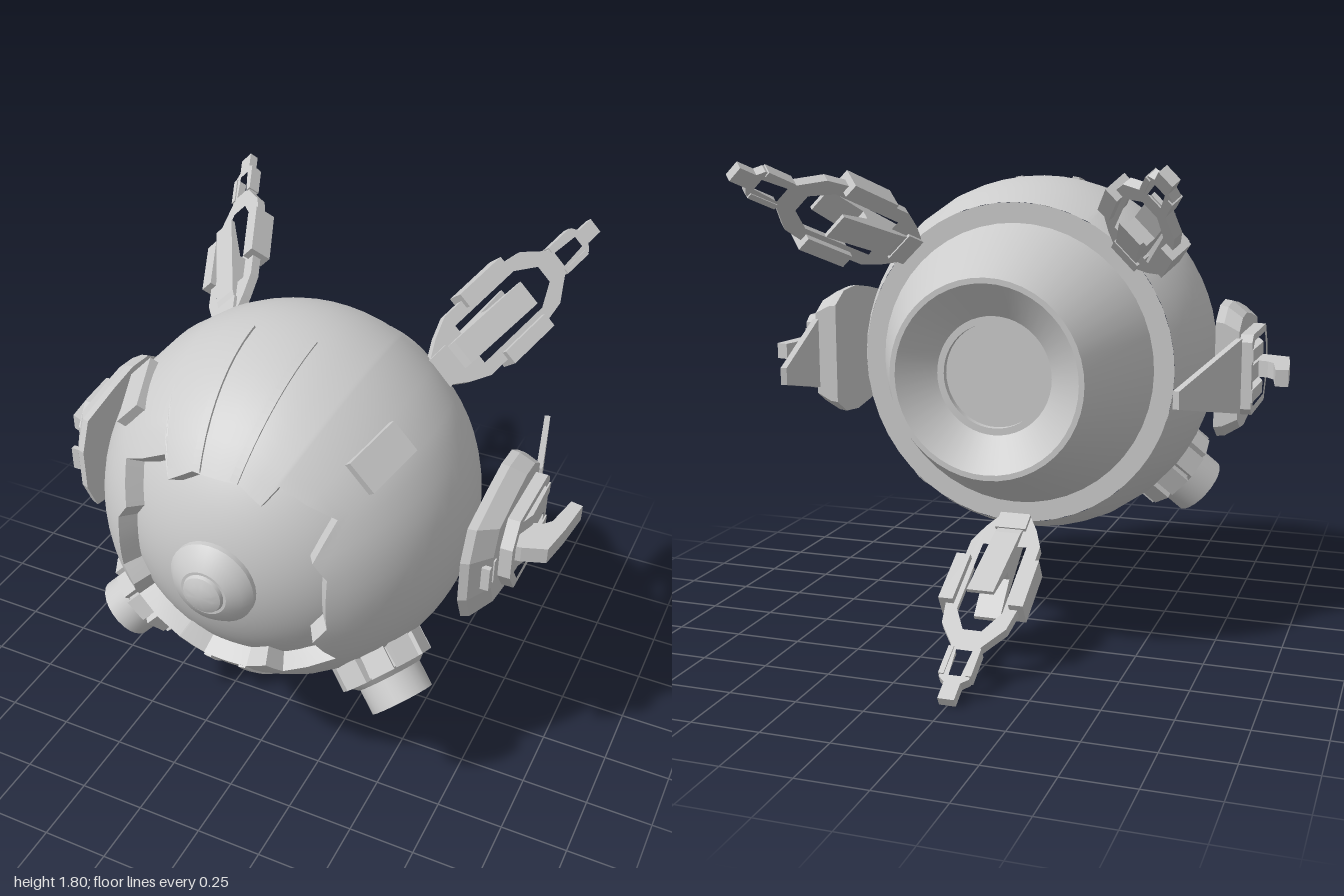
import * as THREE from 'three';
import { toCreasedNormals } from 'three/addons/utils/BufferGeometryUtils.js';
import { ConvexGeometry } from 'three/addons/geometries/ConvexGeometry.js';

const mat = new THREE.MeshStandardMaterial({ color: 0xcccccc });
const CY = 1.03, CZ = 0.19, R = 0.685; // centre height, centre depth, shell radius
const v2 = (p) => new THREE.Vector2(p[0], p[1]);

function add(parent, name, geo) {
  const m = new THREE.Mesh(geo, mat);
  m.name = name;
  parent.add(m);
  return m;
}

function box(w, h, d, x = 0, y = 0, z = 0) {
  return new THREE.BoxGeometry(w, h, d).translate(x, y, z);
}

// Extruded polygon, centred on its thickness, with optional holes
function plate(points, depth, holes = []) {
  const shape = new THREE.Shape(points.map(v2));
  shape.holes = holes.map((h) => new THREE.Path(h.map(v2)));
  return new THREE.ExtrudeGeometry(shape, { depth, bevelEnabled: false }).translate(0, 0, -depth / 2);
}

function lathe(profile, segments, crease = 0.5) {
  return toCreasedNormals(new THREE.LatheGeometry(profile.map(v2), segments), crease);
}

// Half outline [x, y] mirrored across x = 0
const mirrorX = (half) => [...half, ...half.map(([x, y]) => [-x, y]).reverse()];

// Turn an object so its y axis points along dir and its z axis leans to the front
function aim(obj, dir) {
  const y = dir.clone().normalize();
  const x = new THREE.Vector3().crossVectors(y, new THREE.Vector3(0, 0, 1)).normalize();
  const z = new THREE.Vector3().crossVectors(x, y);
  obj.quaternion.setFromRotationMatrix(new THREE.Matrix4().makeBasis(x, y, z));
  obj.position.set(0, 0, CZ);
}

// Spherical shell from a jagged front opening to a round back edge
function shellGeometry() {
  const q = [[0, 0.395], [0.085, 0.395], [0.17, 0.345], [0.21, 0.4], [0.395, 0.3], [0.35, 0.17], [0.395, 0.105], [0.395, 0]];
  const half = [...q, ...q.slice(0, -1).reverse().map(([x, y]) => [x, -y])];
  const ring = [...half, ...half.slice(1, -1).reverse().map(([x, y]) => [-x, y])];
  const rim = [];
  ring.forEach((p, i) => {
    const n = ring[(i + 1) % ring.length];
    rim.push(p, [(p[0] + n[0]) / 2, (p[1] + n[1]) / 2]);
  });
  const rows = 16, back = Math.acos(-0.33 / R), pos = [], idx = [];
  rim.forEach(([x, y]) => {
    const a = Math.atan2(x, y), front = Math.asin(Math.hypot(x, y) / R);
    for (let j = -1; j <= rows; j++) {
      const r = j < 0 ? 0.6 : R;
      const f = front + (back - front) * Math.max(j, 0) / rows;
      pos.push(r * Math.sin(f) * Math.sin(a), r * Math.sin(f) * Math.cos(a), CZ + r * Math.cos(f));
    }
  });
  const w = rows + 2;
  for (let i = 0; i < rim.length; i++) {
    const k = (i + 1) % rim.length;
    for (let j = 0; j < w - 1; j++) {
      const a = i * w + j, b = k * w + j;
      idx.push(a, b, a + 1, b, b + 1, a + 1);
    }
  }
  const g = new THREE.BufferGeometry();
  g.setAttribute('position', new THREE.Float32BufferAttribute(pos, 3));
  g.setIndex(idx);
  g.computeVertexNormals();
  return toCreasedNormals(g, 0.6);
}

// Raised strip that follows a meridian of the shell
function stripGeometry(angle) {
  const s = new THREE.Shape();
  s.absarc(0, 0, R + 0.007, 0.63, 1.47, false);
  s.absarc(0, 0, R - 0.03, 1.47, 0.63, true);
  return new THREE.ExtrudeGeometry(s, { depth: 0.028, bevelEnabled: false, curveSegments: 12 })
    .translate(0, 0, -0.014).rotateY(-Math.PI / 2).rotateZ(angle).translate(0, 0, CZ);
}

function makeThruster() {
  const g = new THREE.Group();
  g.name = 'thruster';
  add(g, 'thrusterNozzle', lathe([[0.14, 0.58], [0.155, 0.745], [0.125, 0.77], [0.12, 0.77], [0.12, 0.868],
    [0.105, 0.868], [0.1, 0.78], [0, 0.78]], 24));
  for (let i = 0; i < 10; i++) {
    add(g, 'collarPanel', box(0.088, 0.15, 0.035, 0, 0.675, 0.155).rotateY((i * Math.PI) / 5));
  }
  return g;
}

// Side pod on +x, symmetric in y so a half turn about z gives the other side
function makePod() {
  const g = new THREE.Group();
  g.name = 'sidePod';
  // outline as [-z, y]
  const upper = [[-0.44, 0.08], [-0.39, 0.19], [-0.2, 0.23], [-0.07, 0.25], [0.04, 0.24], [0.12, 0.19]];
  const outline = [...upper, ...upper.map(([a, b]) => [a, -b]).reverse()];
  const layer = (x, s) => outline.map(([a, b]) => new THREE.Vector3(x, b * s, -(0.12 + (a - 0.12) * s)));
  add(g, 'podBase', new ConvexGeometry([...layer(0.74, 1), ...layer(0.77, 0.98), ...layer(0.825, 0.83)]));

  const frame = (k) => {
    const f = [[-0.28, 0.06], [-0.22, 0.145], [0.08, 0.145], [0.11, 0.12]];
    return [...f, ...f.map(([a, b]) => [a, -b]).reverse()].map(([a, b]) => [-0.085 + (a + 0.085) * k, b * k]);
  };
  add(g, 'podFrame', plate(frame(1), 0.06, [frame(0.82)]).rotateY(Math.PI / 2).translate(0.84, 0, 0));
  for (const z of [0.38, 0.33]) add(g, 'podVent', box(0.03, 0.09, 0.02, 0.815, 0, z));

  // Hooked blade between two low ribs
  const blade = [[0.8, 0.22], [0.88, 0.21], [0.965, 0.18], [0.985, 0.05], [1, -0.11], [0.955, -0.12], [0.93, 0.02], [0.905, 0.05],
    [0.87, 0.06], [0.865, -0.1], [0.8, -0.1]];
  add(g, 'podBlade', plate(blade, 0.06).rotateX(Math.PI / 2));
  const rib = [[0.8, 0.2], [0.85, 0.19], [0.88, 0.1], [0.875, -0.11], [0.8, -0.11]];
  for (const y of [-0.073, 0.073]) add(g, 'podRib', plate(rib, 0.045).rotateX(Math.PI / 2).translate(0, y, 0));

  // Tapered spike sweeping back and inward
  add(g, 'podSpike', plate([[0, -0.135], [0.514, -0.03], [0.514, 0.03], [0, 0.135]], 0.022)
    .rotateY(Math.PI / 2 + 0.236).translate(0.825, 0, -0.12));
  return g;
}

// Tail fin below the axis; y runs along its length
function makeFin() {
  const g = new THREE.Group();
  g.name = 'tailFin';
  const outline = mirrorX([[0.03, 0.88], [0.03, 0.81], [0.055, 0.79], [0.055, 0.65], [0.12, 0.56], [0.135, 0.47],
    [0.135, 0.16], [0.1, 0.08], [0.05, 0]]);
  const slot = mirrorX([[0.022, 0.78], [0.03, 0.67]]);
  const window = mirrorX([[0.035, 0.58], [0.085, 0.49], [0.085, 0.17]]);
  add(g, 'finFrame', plate(outline, 0.035, [slot, window]));
  for (const s of [-1, 1]) {
    add(g, 'finArm', box(0.055, 0.22, 0.085, s * 0.132, 0.36, 0));
    add(g, 'finTipRail', box(0.02, 0.12, 0.045, s * 0.05, 0.72, 0));
  }
  // Forked core, drawn as [length, thickness]
  const core = [[0.02, 0], [0.12, 0.035], [0.3, 0.06], [0.45, 0.08], [0.45, 0.065], [0.3, 0.02],
    [0.3, -0.02], [0.45, -0.065], [0.45, -0.08], [0.3, -0.06], [0.12, -0.035]];
  add(g, 'finCore', plate(core, 0.1).applyMatrix4(new THREE.Matrix4().makeBasis(
    new THREE.Vector3(0, 1, 0), new THREE.Vector3(0, 0, 1), new THREE.Vector3(1, 0, 0))));
  add(g, 'finMount', box(0.12, 0.1, 0.06, 0, 0.04, 0));
  g.position.set(0, -0.59, -0.115);
  g.rotation.x = -2.088;
  return g;
}

export function createModel() {
  const model = new THREE.Group();
  model.name = 'sphericalProbe';
  const body = new THREE.Group();
  body.name = 'body';
  body.position.y = CY;
  model.add(body);

  // Core, shell and back cone with a dished exhaust
  add(body, 'faceDome', new THREE.SphereGeometry(0.615, 48, 20, 0, Math.PI * 2, 0, Math.PI / 2)
    .rotateX(Math.PI / 2).translate(0, 0, CZ));
  add(body, 'outerShell', shellGeometry());
  add(body, 'backCone', lathe([[0, -0.36], [0.19, -0.36], [0.19, -0.385], [0.215, -0.385], [0.34, -0.48], [0.36, -0.48],
    [0.525, -0.14], [0.6, -0.14]], 48).rotateX(Math.PI / 2));
  add(body, 'eye', lathe([[0.158, 0.76], [0.158, 0.803], [0.13, 0.835], [0.085, 0.86], [0.075, 0.86], [0.07, 0.872],
    [0.045, 0.883], [0, 0.888]], 32).rotateX(Math.PI / 2));
  for (const a of [-0.17, 0.17, Math.PI - 0.17, Math.PI + 0.17]) add(body, 'shellStrip', stripGeometry(a));

  for (const s of [1, -1]) {
    const thruster = makeThruster();
    aim(thruster, new THREE.Vector3(s * 0.67, -0.66, 0.345));
    body.add(thruster);

    const block = add(body, 'shellBlock', box(0.125, 0.07, 0.22, 0, 0.672, 0));
    aim(block, new THREE.Vector3(s * 0.45, 0.43, 0.27));

    const pod = makePod();
    if (s < 0) pod.rotation.z = Math.PI;
    body.add(pod);
  }

  // Three fins around the back edge: below, upper left, upper right
  for (const a of [0, 0.75 * Math.PI, -0.75 * Math.PI]) {
    const arm = new THREE.Group();
    arm.name = 'finArmGroup';
    arm.rotation.z = a;
    arm.add(makeFin());
    body.add(arm);
  }
  return model;
}
